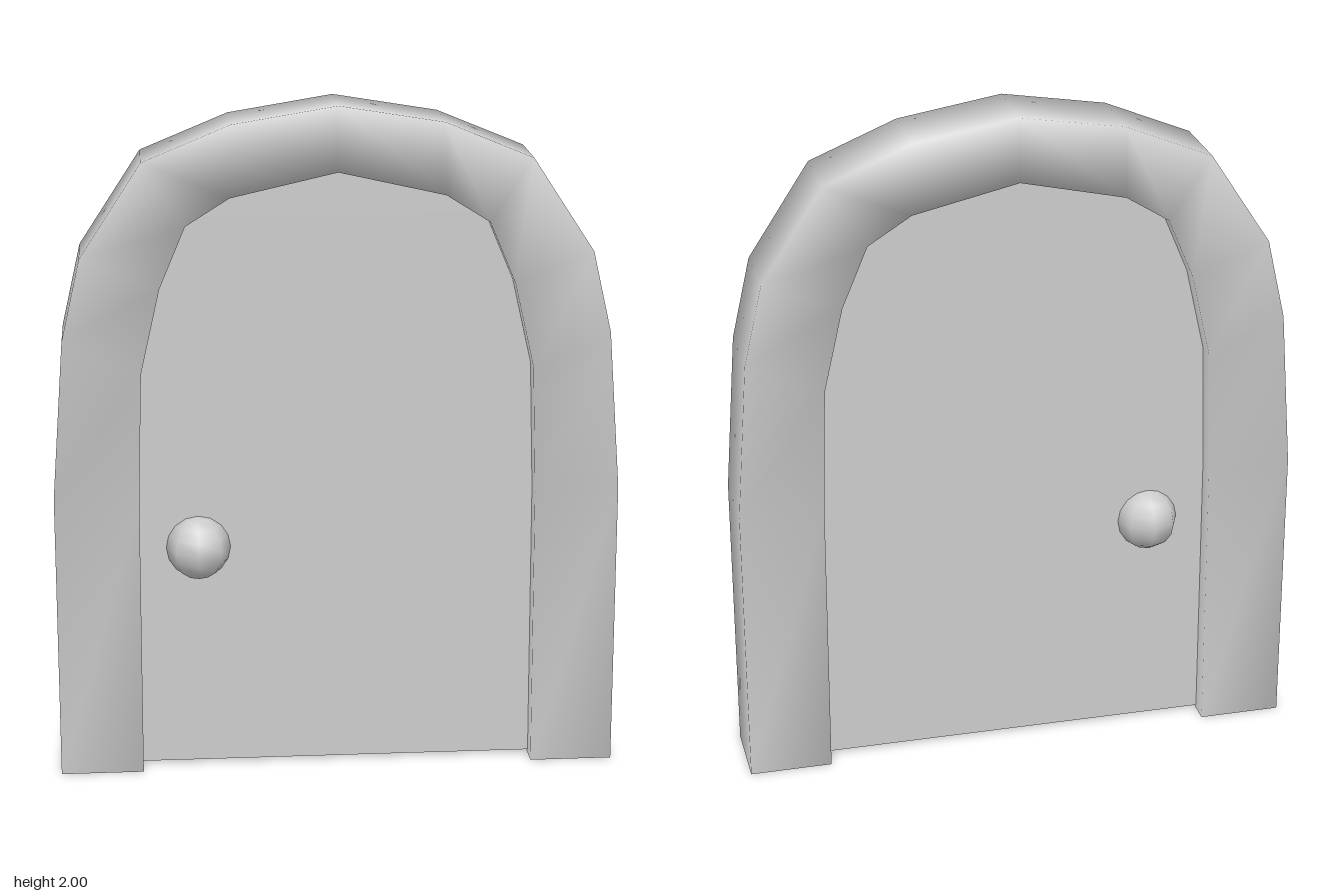
import * as THREE from 'three';

const material = new THREE.MeshStandardMaterial({ color: 0xcccccc });
const frameMaterial = new THREE.MeshStandardMaterial({ color: 0xcccccc, side: THREE.DoubleSide });

// Right half of the arch, from the floor to the crown
const outerHalf = [[0.83, 0], [0.83, 0.86], [0.795, 1.33], [0.74, 1.57], [0.56, 1.845], [0.305, 1.95], [0, 2]];
const innerHalf = [[0.585, 0], [0.582, 0.85], [0.57, 1.23], [0.513, 1.48], [0.437, 1.66], [0.31, 1.74], [0, 1.81]];

// Mirror a half outline into a full one running from -x over the top to +x
function mirrored(half) {
  const left = half.map(([x, y]) => [-x, y]);
  return left.concat(half.slice(0, -1).reverse());
}

// Square section swept round the arch, smooth shaded, open at the floor
function frameGeometry(front, back) {
  const outer = mirrored(outerHalf);
  const inner = mirrored(innerHalf);
  const positions = [];
  const indices = [];
  outer.forEach(([ox, oy], i) => {
    const [ix, iy] = inner[i];
    positions.push(ox, oy, back, ox, oy, front, ix, iy, front, ix, iy, back);
    if (i === 0) return;
    for (let k = 0; k < 4; k++) {
      const a = (i - 1) * 4 + k;
      const b = (i - 1) * 4 + (k + 1) % 4;
      indices.push(a, b, b + 4, a, b + 4, a + 4);
    }
  });
  const geometry = new THREE.BufferGeometry();
  geometry.setAttribute('position', new THREE.Float32BufferAttribute(positions, 3));
  geometry.setIndex(indices);
  geometry.computeVertexNormals();
  return geometry;
}

// Flat slab whose edge is tucked just inside the frame
function panelGeometry(front, back) {
  const outer = mirrored(outerHalf);
  const points = mirrored(innerHalf).map(([x, y], i) => new THREE.Vector2(
    THREE.MathUtils.lerp(x, outer[i][0], 0.1),
    Math.max(0.01, THREE.MathUtils.lerp(y, outer[i][1], 0.1))
  ));
  const geometry = new THREE.ExtrudeGeometry(new THREE.Shape(points), { depth: front - back, bevelEnabled: false });
  return geometry.translate(0, 0, back);
}

export function createModel() {
  const door = new THREE.Group();
  door.name = 'archedDoor';

  const add = (name, geometry, mat = material) => {
    const mesh = new THREE.Mesh(geometry, mat);
    mesh.name = name;
    door.add(mesh);
    return mesh;
  };

  add('frame', frameGeometry(0.105, -0.12), frameMaterial);
  add('doorPanel', panelGeometry(0.045, -0.06));

  // One knob on each face of the panel
  const knob = new THREE.SphereGeometry(0.095, 8, 8);
  add('frontKnob', knob).position.set(-0.41, 0.685, 0.045);
  add('backKnob', knob).position.set(-0.41, 0.685, -0.05);

  return door;
}
